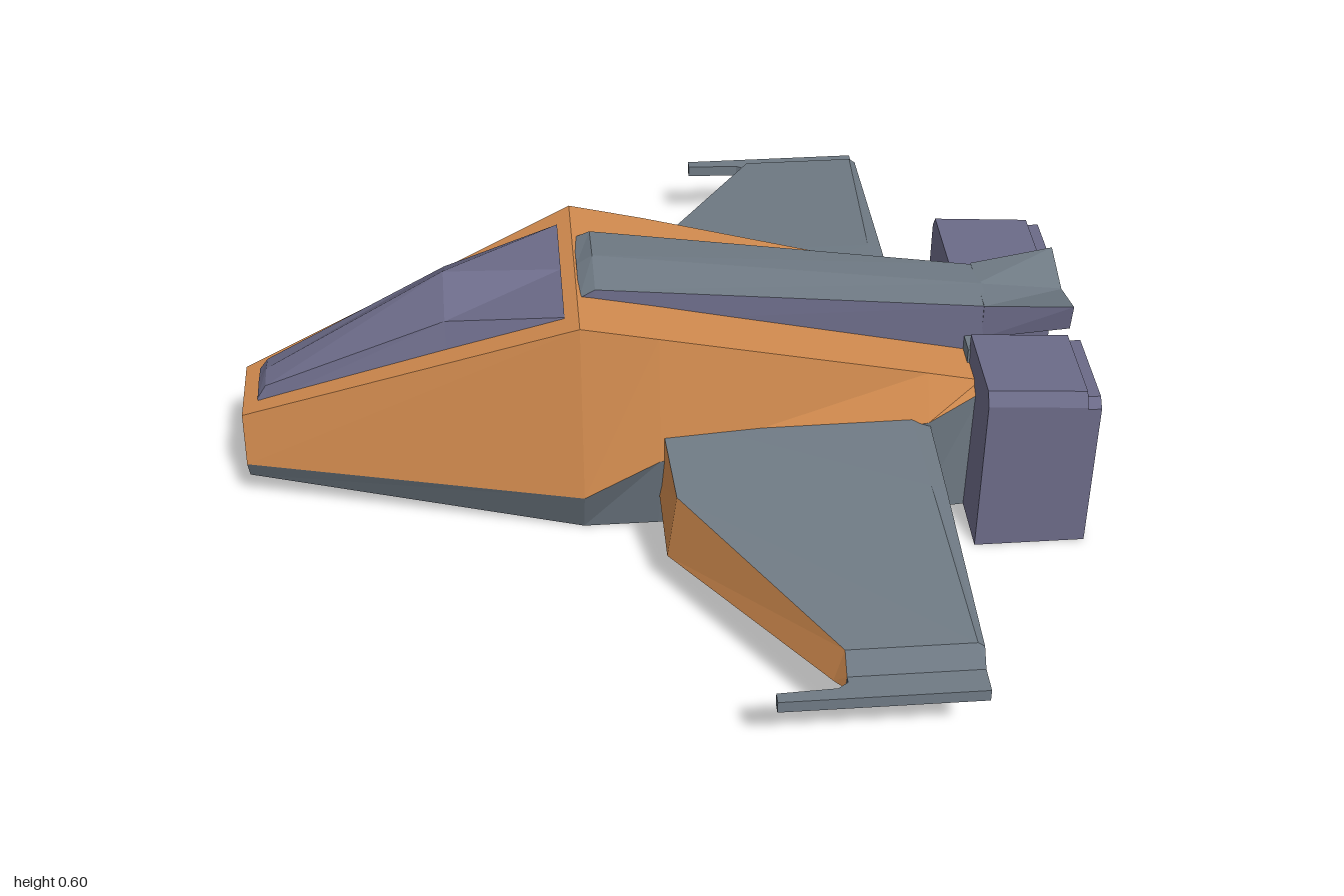
import * as THREE from 'three';

const mat = (name, color) => Object.assign(new THREE.MeshStandardMaterial({ color }), { name });

// Joins rings of [x, y, z] points into a faceted solid; slots gives a material index
// per ring edge, followed by the start cap and end cap.
function loft(name, rings, slots, materials) {
  const pos = [], geo = new THREE.BufferGeometry();
  const buckets = materials.map(() => []);
  const V = p => new THREE.Vector3(...p);
  const centre = r => r.reduce((c, p) => c.add(V(p)), new THREE.Vector3()).divideScalar(r.length);
  const tri = (a, b, c, inside, slot) => {
    const n = b.clone().sub(a).cross(c.clone().sub(a));
    const out = a.clone().add(b).add(c).divideScalar(3).sub(inside);
    const t = n.dot(out) < 0 ? [a, c, b] : [a, b, c];
    t.forEach(p => buckets[slot].push(p.x, p.y, p.z));
  };
  const n = rings[0].length;
  for (let i = 0; i < rings.length - 1; i++) {
    const inside = centre(rings[i]).add(centre(rings[i + 1])).multiplyScalar(0.5);
    for (let k = 0; k < n; k++) {
      const j = (k + 1) % n;
      const [a, b, c, d] = [rings[i][k], rings[i][j], rings[i + 1][j], rings[i + 1][k]].map(V);
      tri(a, b, c, inside, slots[k]);
      tri(a, c, d, inside, slots[k]);
    }
  }
  [[0, 1, n], [rings.length - 1, rings.length - 2, n + 1]].forEach(([e, next, s]) => {
    const mid = centre(rings[e]), inside = centre(rings[next]);
    for (let k = 0; k < n; k++) tri(mid, V(rings[e][k]), V(rings[e][(k + 1) % n]), inside, slots[s]);
  });
  buckets.forEach((b, m) => {
    if (b.length) geo.addGroup(pos.length / 3, b.length / 3, m);
    for (const v of b) pos.push(v);
  });
  geo.setAttribute('position', new THREE.Float32BufferAttribute(pos, 3));
  geo.computeVertexNormals();
  const mesh = new THREE.Mesh(geo, materials);
  mesh.name = name;
  return mesh;
}

// Symmetric ring at one x, from half-profile [y, z] pairs listed bottom to top.
const mirrored = (x, half) => [
  ...half.map(([y, z]) => [x, y, z]),
  ...half.slice().reverse().map(([y, z]) => [x, y, -z]),
];

export function createModel() {
  const orange = mat('orange paint', 0xd08a4e);
  const grey = mat('blue grey', 0x6f7a84);
  const purple = mat('muted purple', 0x6b6a87);
  const mats = [orange, grey, purple];
  const O = 0, G = 1, P = 2;
  const ship = new THREE.Group();
  ship.name = 'spacecraft';

  // Hull: belly edge, colour seam, top edge
  ship.add(loft('hull', [
    mirrored(-0.945, [[0.085, 0.08], [0.14, 0.11], [0.265, 0.09]]),
    mirrored(-0.19, [[0, 0.22], [0.14, 0.29], [0.57, 0.24]]),
    mirrored(-0.02, [[0, 0.22], [0.23, 0.283], [0.53, 0.235]]),
    mirrored(0.58, [[0, 0.22], [0.275, 0.25], [0.38, 0.205]]),
    mirrored(0.7, [[0, 0.21], [0.335, 0.225], [0.35, 0.2]]),
  ], [G, O, O, O, G, G, O, G], mats));

  // Canopy: base, shoulder, ridge, with a blunt front face
  ship.add(loft('canopy', [
    mirrored(-0.91, [[0.27, 0.06], [0.285, 0.055], [0.29, 0.001]]),
    mirrored(-0.89, [[0.28, 0.062], [0.315, 0.05], [0.325, 0.001]]),
    mirrored(-0.48, [[0.44, 0.137], [0.51, 0.105], [0.57, 0.001]]),
    mirrored(-0.22, [[0.54, 0.187], [0.56, 0.18], [0.562, 0.001]]),
  ], [P, P, P, P, P, P, G, P], mats));

  // Dorsal spine
  ship.add(loft('spine', [
    mirrored(-0.185, [[0.5, 0.12], [0.565, 0.118], [0.572, 0.001]]),
    mirrored(-0.15, [[0.5, 0.12], [0.582, 0.114], [0.595, 0.001]]),
    mirrored(0.73, [[0.33, 0.088], [0.465, 0.082], [0.47, 0.001]]),
  ], [P, G, G, G, P, P, G, G], mats));

  // Flared tail fairing with a shallow channel on top
  ship.add(loft('tailFairing', [
    mirrored(0.72, [[0.38, 0.085], [0.468, 0.085], [0.47, 0.001]]),
    mirrored(0.915, [[0.41, 0.105], [0.478, 0.118], [0.445, 0.001]]),
  ], [P, G, G, G, P, P, G, G], mats));

  // Sloped panel between the engines
  ship.add(loft('rearPanel', [-0.14, 0.14].map(z => [
    [0.68, 0, z], [0.83, 0, z], [0.74, 0.39, z], [0.68, 0.39, z],
  ]), [G, G, G, G, G, G], mats));

  for (const s of [1, -1]) {
    const side = s > 0 ? 'left' : 'right';

    // Wing: rings of leading bottom, leading top, ridge, trailing top, trailing bottom
    const wing = [
      [0.2, [-0.02, 0.1], [-0.015, 0.292], [0.54, 0.287], [0.585, 0.265], [0.585, 0.095]],
      [0.46, [-0.02, 0.11], [0, 0.275], [0.55, 0.272], [0.585, 0.255], [0.585, 0.108]],
      [0.91, [0.28, 0.152], [0.3, 0.236], [0.57, 0.236], [0.585, 0.225], [0.585, 0.155]],
      [0.94, [0.3, 0.158], [0.302, 0.19], [0.57, 0.19], [0.585, 0.19], [0.585, 0.158]],
    ].map(([z, ...ring]) => ring.map(([x, y]) => [x, y, s * z]));
    ship.add(loft(side + 'Wing', wing, [O, G, G, O, G, G, G], mats));

    // Wing tip plate with forward prong
    const plan = new THREE.Shape([
      [0.302, 0.935], [0.585, 0.935], [0.585, 1], [0.155, 1], [0.155, 0.975],
      [0.28, 0.97], [0.302, 0.955],
    ].map(([x, z]) => new THREE.Vector2(x, -s * z)));
    const tipGeo = new THREE.ExtrudeGeometry(plan, { depth: 0.028, bevelEnabled: false });
    tipGeo.rotateX(-Math.PI / 2).translate(0, 0.162, 0);
    const tip = new THREE.Mesh(tipGeo, grey);
    tip.name = side + 'WingTip';
    ship.add(tip);

    // Engine block with bevelled outer top edge
    const block = (x, top) => [
      [0, 0.13], [0, 0.355], [top - 0.03, 0.355], [top, 0.335], [top, 0.13],
    ].map(([y, z]) => [x, y, s * z]);
    ship.add(loft(side + 'Engine', [block(0.685, 0.425), block(0.905, 0.41)],
      [P, P, P, P, P, P, P], mats));

    // Engine rear frame around the recessed exhaust slot
    const outline = pts => pts.map(([y, z]) => new THREE.Vector2(-s * z, y));
    const frame = new THREE.Shape(outline([
      [0, 0.13], [0, 0.355], [0.375, 0.355], [0.395, 0.335], [0.395, 0.13],
    ]));
    frame.holes.push(new THREE.Path(outline([
      [0.025, 0.21], [0.3, 0.21], [0.3, 0.295], [0.025, 0.295],
    ])));
    const frameGeo = new THREE.ExtrudeGeometry(frame, { depth: 0.03, bevelEnabled: false });
    frameGeo.rotateY(Math.PI / 2).translate(0.905, 0, 0);
    const rear = new THREE.Mesh(frameGeo, purple);
    rear.name = side + 'EngineFrame';
    ship.add(rear);

    // Raised bar inside the slot
    const bar = new THREE.Mesh(new THREE.BoxGeometry(0.015, 0.24, 0.04), purple);
    bar.position.set(0.908, 0.162, s * 0.252);
    bar.name = side + 'ExhaustBar';
    ship.add(bar);
  }
  return ship;
}
